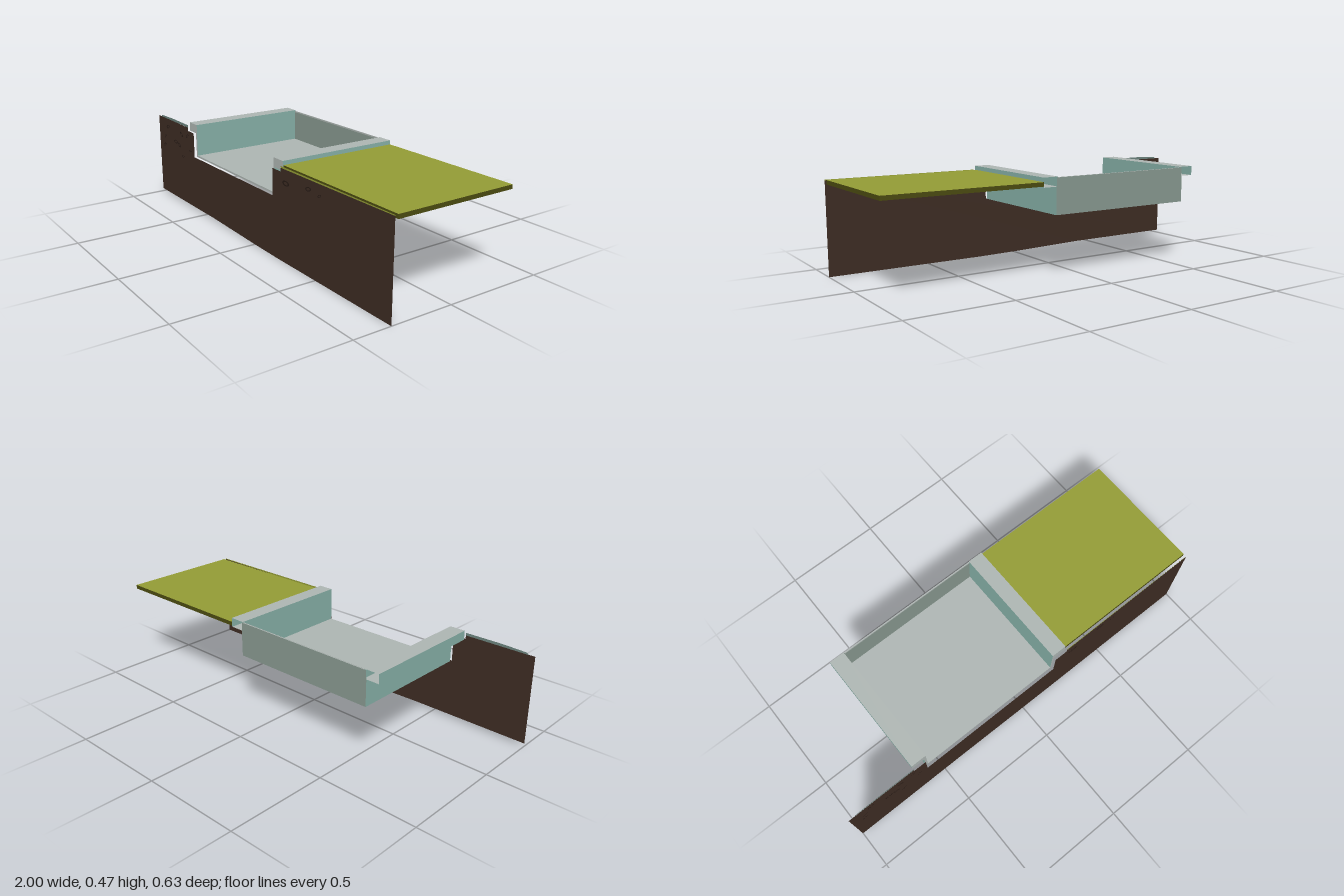
import * as THREE from 'three';

export function createModel() {
  const model = new THREE.Group();
  const mat = (name, color) => {
    const m = new THREE.MeshStandardMaterial({ color, side: THREE.DoubleSide });
    m.name = name;
    return m;
  };
  const stone = mat('pale stone', 0xadb5b2);
  const teal = mat('teal wall', 0x87b1a8);
  const backTeal = mat('grey green wall', 0x87988f);
  const soil = mat('soil', 0x3d2c23);
  const pebble = mat('dark pebble', 0x261a14);
  const grass = mat('grass', 0x939c35);
  const grassSide = mat('grass edge', 0x4b4b10);
  const moss = mat('grey moss', 0x6c837d);

  const add = (name, geo, material, parent = model) => {
    const mesh = new THREE.Mesh(geo, material);
    mesh.name = name;
    parent.add(mesh);
    return mesh;
  };
  // Box given by its limits on each axis
  const box = (x0, x1, y0, y1, z0, z1) =>
    new THREE.BoxGeometry(x1 - x0, y1 - y0, z1 - z0)
      .translate((x0 + x1) / 2, (y0 + y1) / 2, (z0 + z1) / 2);
  // Flat outline facing the front
  const plate = (points, z) =>
    new THREE.ShapeGeometry(new THREE.Shape(points.map(p => new THREE.Vector2(...p)))).translate(0, 0, z);

  const back = -0.315, front = 0.302, face = 0.315;
  // Stone with teal long sides
  const sided = [teal, teal, stone, stone, stone, backTeal];

  // Sunken channel: floor, side walls and back wall
  const channel = new THREE.Group();
  channel.name = 'channel';
  model.add(channel);
  add('channelFloor', box(-0.585, 0.17, 0.297, 0.306, back, front), sided, channel);
  add('leftSideWall', box(0.161, 0.17, 0.306, 0.425, back, front), sided, channel);
  add('rightSideWall', box(-0.585, -0.573, 0.306, 0.425, back, front), sided, channel);
  add('backWall', box(-0.582, 0.168, 0.306, 0.466, back, back + 0.004),
    [teal, teal, stone, stone, backTeal, backTeal], channel);
  add('backWallRim', box(-0.57, 0.16, 0.46, 0.467, back + 0.004, back + 0.006), stone, channel);

  // Coping beams over the side walls, open at the back end
  for (const [name, x0, x1] of [['rightCoping', -0.65, -0.573], ['leftCoping', 0.161, 0.237]]) {
    const geo = box(x0, x1, 0.425, 0.47, back, front);
    geo.setIndex(Array.from(geo.index.array).slice(0, 30));
    geo.groups.pop();
    add(name, geo, sided, channel);
  }

  // Lawn slab
  add('lawn', box(0.237, 0.998, 0.43, 0.45, back, 0.298),
    [grassSide, grassSide, grass, grassSide, grassSide, grassSide]);

  // Soil section with the channel cut out
  add('soilSection', plate([
    [-1, 0.015], [-0.4, 0.013], [0, 0.003], [0.2, 0], [1, 0], [1, 0.446],
    [0.239, 0.442], [0.239, 0.425], [0.171, 0.425], [0.171, 0.296],
    [-0.586, 0.296], [-0.586, 0.425], [-0.65, 0.425], [-0.65, 0.443], [-1, 0.445],
  ], face), soil);

  // Grass and moss edges along the soil top
  add('grassFringe', plate([[0.239, 0.438], [0.6, 0.442], [1, 0.446], [1, 0.45], [0.239, 0.45]], face - 0.001), grass);
  add('mossFringe', plate([[-0.97, 0.444], [-0.65, 0.443], [-0.65, 0.456], [-0.84, 0.457], [-0.96, 0.453]], face - 0.001), moss);

  // Pebble outlines in the soil: x, y, half width, tilt
  const pebbles = [
    [-0.89, 0.4, 0.02, 0.3], [-0.94, 0.29, 0.016, 0.5], [-0.93, 0.34, 0.014, 0.7],
    [-0.8, 0.335, 0.022, 0], [-0.76, 0.325, 0.02, -0.4], [-0.72, 0.27, 0.014, 0.2],
    [-0.73, 0.39, 0.02, -0.5], [-0.66, 0.395, 0.016, 0.6], [-0.63, 0.32, 0.012, 0],
    [0.28, 0.38, 0.028, 0], [0.45, 0.4, 0.022, 0.2], [0.53, 0.39, 0.014, 0.5],
  ];
  pebbles.forEach(([x, y, r, tilt]) => {
    const p = add('pebble', new THREE.RingGeometry(0.6, 1, 10), pebble);
    p.scale.set(r, r * 0.45, 1);
    p.rotation.z = tilt;
    p.position.set(x, y, face + 0.001);
  });
  return model;
}
